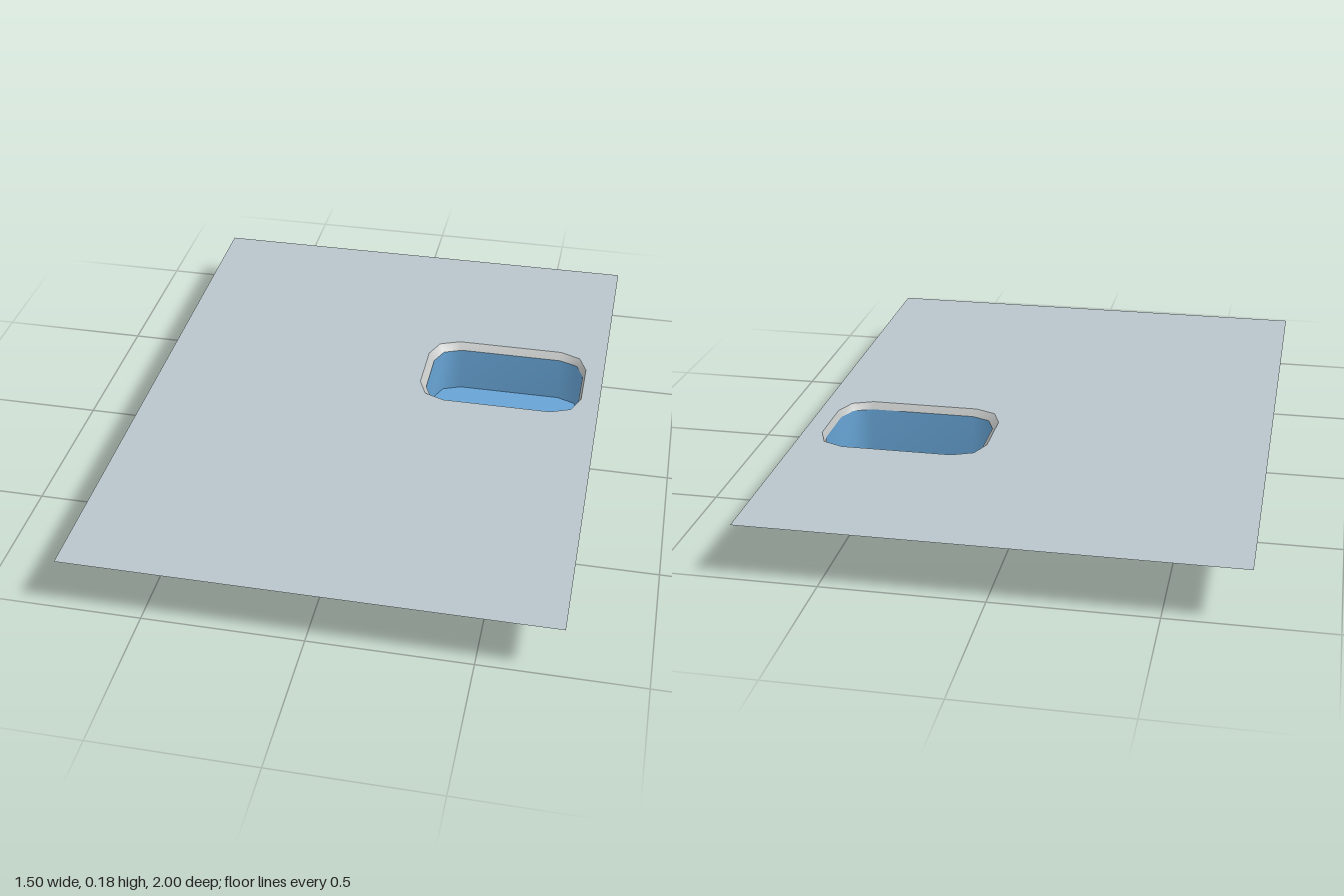
import * as THREE from 'three';

const TOP = 0.178, LIP = 0.156;

// Rectangle outline with corners cut in two steps, in (x, z)
function outline(x0, x1, z0, z1, r) {
  const corners = [[x1 - r, z1 - r, 0], [x0 + r, z1 - r, 1], [x0 + r, z0 + r, 2], [x1 - r, z0 + r, 3]];
  const pts = [];
  for (const [cx, cz, q] of corners)
    for (let i = 0; i <= 2; i++) {
      const a = (q + i / 2) * Math.PI / 2;
      pts.push(new THREE.Vector2(cx + r * Math.cos(a), cz + r * Math.sin(a)));
    }
  return pts;
}

// Smooth band joining two outlines, facing the inside of the basin
function band(lower, yLow, upper, yHigh) {
  const n = lower.length, pos = [], idx = [];
  lower.forEach(p => pos.push(p.x, yLow, p.y));
  upper.forEach(p => pos.push(p.x, yHigh, p.y));
  for (let i = 0; i < n; i++) {
    const j = (i + 1) % n;
    idx.push(i, j, n + j, i, n + j, n + i);
  }
  const g = new THREE.BufferGeometry();
  g.setAttribute('position', new THREE.Float32BufferAttribute(pos, 3));
  g.setIndex(idx);
  g.computeVertexNormals();
  return g;
}

// Flat sheet facing up at height y, optionally with a hole
function sheet(points, y, hole) {
  const flip = list => list.map(p => new THREE.Vector2(p.x, -p.y));
  const shape = new THREE.Shape(flip(points));
  if (hole) shape.holes.push(new THREE.Path(flip(hole)));
  return new THREE.ShapeGeometry(shape).rotateX(-Math.PI / 2).translate(0, y, 0);
}

export function createModel() {
  const material = (name, color) => {
    const m = new THREE.MeshStandardMaterial({ color, side: THREE.DoubleSide });
    m.name = name;
    return m;
  };
  const grey = material('surface grey', 0xb8c5cb);
  const pale = material('rim pale grey', 0xc0c3c2);
  const blue = material('basin blue', 0x67a4d5);

  const group = new THREE.Group();
  group.name = 'poolInGround';
  const add = (name, geometry, mat) => {
    const mesh = new THREE.Mesh(geometry, mat);
    mesh.name = name;
    group.add(mesh);
  };

  const opening = outline(0.14, 0.688, -0.42, -0.05, 0.095);
  const inner = outline(0.16, 0.679, -0.4, -0.065, 0.085);
  const ground = [[-0.75, -1], [0.75, -1], [0.75, 1], [-0.75, 1]].map(p => new THREE.Vector2(...p));

  // Ground sheet with the basin opening
  add('ground', sheet(ground, TOP, opening), grey);
  // Flared rim, walls and floor of the basin
  add('rim', band(inner, LIP, opening, TOP), pale);
  add('basinWall', band(inner, 0, inner, LIP), blue);
  add('basinFloor', sheet(inner, 0), blue);
  return group;
}
